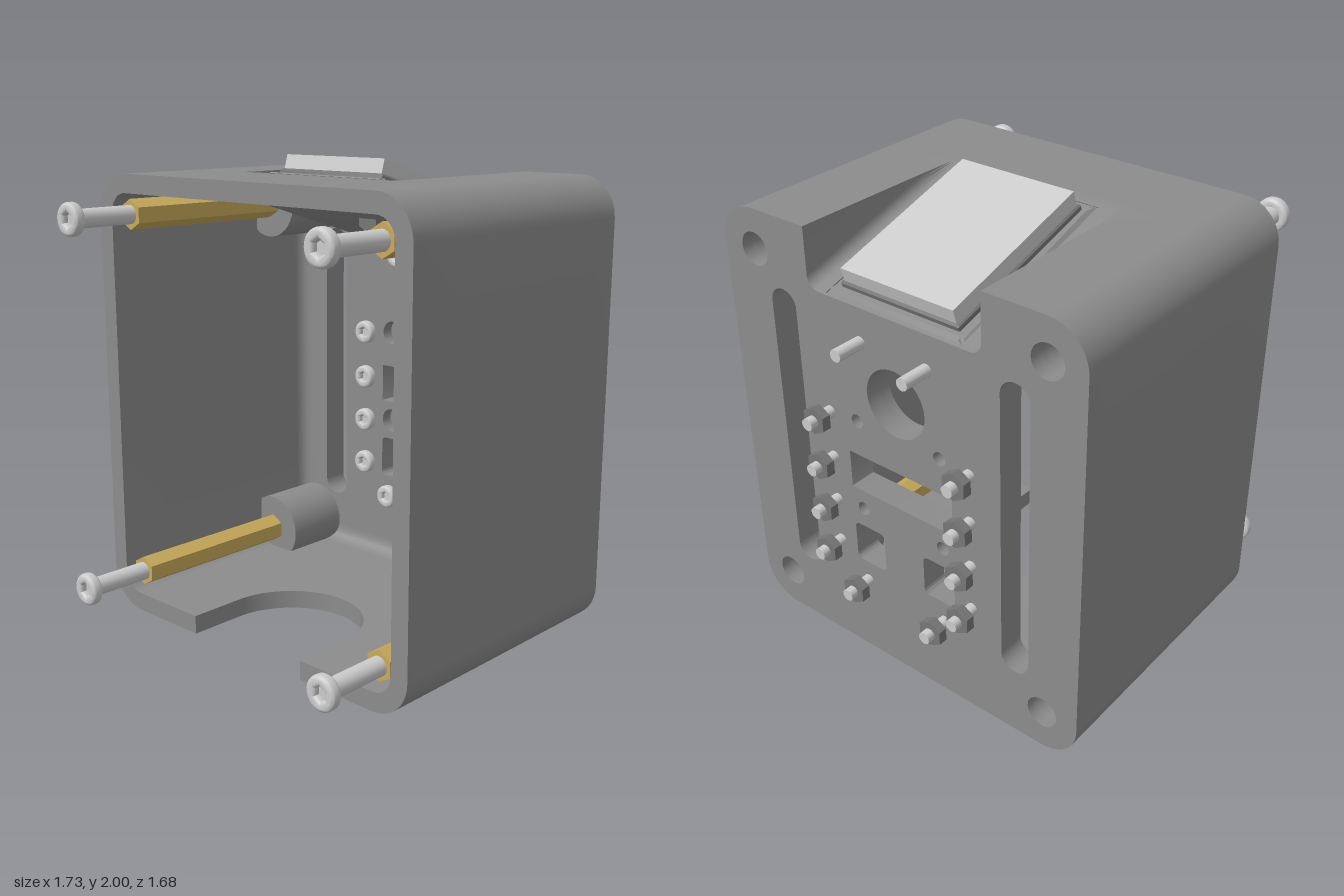
import * as THREE from 'three';
import { toCreasedNormals } from 'three/addons/utils/BufferGeometryUtils.js';

const mat = (color) => new THREE.MeshStandardMaterial({ color });
const BODY = mat(0x8c8c8c), DARK = mat(0x777777), LIGHT = mat(0xcccccc), BRASS = mat(0xc8aa5a);
const BACK = -0.71, FRONT = 0.55, INNER = -0.59, TOP = 1.925, WALL = 0.08, HALF = 0.865, CUT = 0.315;
const SLOPE = 0.3;
const V = (x, y) => new THREE.Vector2(x, y);

function add(parent, name, geo, material, x = 0, y = 0, z = 0) {
  const mesh = new THREE.Mesh(toCreasedNormals(geo, 0.55), material);
  mesh.name = name;
  mesh.position.set(x, y, z);
  parent.add(mesh);
  return mesh;
}

// Cylinder or prism along z between two depths
function rod(r, z0, z1, sides = 20) {
  return new THREE.CylinderGeometry(r, r, z1 - z0, sides).rotateX(Math.PI / 2).translate(0, 0, (z0 + z1) / 2);
}

const slab = (shape, z0, z1) =>
  new THREE.ExtrudeGeometry(shape, { depth: z1 - z0, bevelEnabled: false, curveSegments: 20 }).translate(0, 0, z0);

function circle(x, y, r) {
  return new THREE.Path().absarc(x, y, r, 0, Math.PI * 2);
}

function roundRect(x0, y0, x1, y1, r, Type = THREE.Path) {
  const p = new Type();
  p.absarc(x1 - r, y0 + r, r, -Math.PI / 2, 0);
  p.absarc(x1 - r, y1 - r, r, 0, Math.PI / 2);
  p.absarc(x0 + r, y1 - r, r, Math.PI / 2, Math.PI);
  p.absarc(x0 + r, y0 + r, r, Math.PI, Math.PI * 1.5);
  p.closePath();
  return p;
}

// Right half of a wall outline, from the bottom cutout up to the sunken top
function halfOutline(inset, floorY, notchX, r) {
  const pts = [V(CUT, inset)], cx = 0.695, R = 0.17 - inset, top = TOP - inset;
  for (const [cy, start] of [[0.17, -Math.PI / 2], [TOP - 0.17, 0]])
    for (let i = 0; i <= 10; i++) {
      const a = start + (i / 10) * Math.PI / 2;
      pts.push(V(cx + R * Math.cos(a), cy + R * Math.sin(a)));
    }
  const depth = top - floorY, ry = Math.min(r, depth);
  pts.push(V(notchX, top));
  for (let i = 0; i <= 5; i++) {
    const a = (i / 5) * Math.PI / 2;
    pts.push(V(notchX - r * (1 - Math.cos(a)), floorY + ry * (1 - Math.sin(a))));
  }
  return pts;
}

const mirror = (pts) => pts.map((p) => V(-p.x, p.y));
const floorAt = (z) => Math.min(TOP, TOP + SLOPE * (z - 0.12));
const outerHalf = (z) => halfOutline(0, floorAt(z), 0.42, 0.05);
const innerHalf = (z) =>
  halfOutline(WALL, Math.min(TOP - WALL, TOP + SLOPE * (Math.max(z, INNER) - 0.12) - 0.1), 0.53, 0.05);

// Walls: one cross-section lofted from back to front
function wallGeometry() {
  const zs = [BACK, INNER, -0.2, -0.046, 0.12, 0.187, 0.3, FRONT];
  const rings = zs.map((z) => {
    const o = outerHalf(z), i = innerHalf(z);
    return [...o, ...mirror(o).reverse(), ...mirror(i), ...i.reverse()];
  });
  const n = rings[0].length, pos = [], idx = [];
  rings.forEach((ring, k) => ring.forEach((p) => pos.push(p.x, p.y, zs[k])));
  for (let k = 0; k < zs.length - 1; k++)
    for (let i = 0; i < n; i++) {
      const j = (i + 1) % n, a = k * n + i, b = k * n + j;
      idx.push(a, b, b + n, a, b + n, a + n);
    }
  const last = (zs.length - 1) * n;
  for (const [a, b, c] of THREE.ShapeUtils.triangulateShape(rings[0], [])) idx.push(a, c, b);
  for (const [a, b, c] of THREE.ShapeUtils.triangulateShape(rings[zs.length - 1], [])) idx.push(last + a, last + b, last + c);
  const g = new THREE.BufferGeometry();
  g.setAttribute('position', new THREE.Float32BufferAttribute(pos, 3));
  g.setIndex(idx);
  return g;
}

// Back panel layer with all openings; smallR sizes the stepped holes
function panelShape(smallR) {
  const half = innerHalf(BACK);
  const s = new THREE.Shape([...half, ...mirror(half).reverse()]);
  s.holes.push(circle(0, 1.32, 0.145), roundRect(-0.265, 0.835, 0.265, 1.005, 0.004));
  for (const m of [-1, 1]) {
    s.holes.push(roundRect(m * 0.565 - 0.066, 0.31, m * 0.565 + 0.066, 1.625, 0.065));
    s.holes.push(roundRect(m * 0.185 - 0.08, 0.47, m * 0.185 + 0.08, 0.655, 0.025));
    for (const y of [0.745, 1.165]) s.holes.push(circle(m * 0.21, y, smallR));
    for (const y of [0.175, 1.755]) s.holes.push(circle(m * 0.7, y, 0.07));
  }
  return s;
}

// Rounded screw with a hexagonal socket, head facing +z
function screw(name, r, shaftR, headZ, headH, tipZ) {
  const g = new THREE.Group();
  g.name = name;
  const s = new THREE.Shape().absarc(0, 0, r, 0, Math.PI * 2);
  const hex = [];
  for (let i = 0; i < 6; i++) hex.push(V(r * 0.42 * Math.sin(i * Math.PI / 3), r * 0.42 * Math.cos(i * Math.PI / 3)));
  s.holes.push(new THREE.Path(hex).closePath());
  const b = headH * 0.3;
  add(g, 'screwHead', new THREE.ExtrudeGeometry(s, {
    depth: headH - 2 * b, bevelThickness: b, bevelSize: b, bevelOffset: -b, bevelSegments: 3, curveSegments: 14,
  }).translate(0, 0, headZ + b), LIGHT);
  add(g, 'screwShaft', rod(shaftR, tipZ, headZ + headH * 0.45), LIGHT);
  return g;
}

export function createModel() {
  const model = new THREE.Group();
  model.name = 'switchHousing';

  // Housing
  add(model, 'housingWalls', wallGeometry(), BODY);
  add(model, 'backPanelOuter', slab(panelShape(0.03), BACK, -0.645), BODY);
  add(model, 'backPanelInner', slab(panelShape(0.053), -0.645, INNER), BODY);

  // Floor with round-ended cable cutout
  const floor = new THREE.Shape();
  floor.moveTo(CUT, -BACK).lineTo(-CUT, -BACK).lineTo(-CUT, -0.3);
  floor.absarc(0, -0.3, CUT, Math.PI, 0, true);
  floor.closePath();
  add(model, 'floorCutout', slab(floor, 0, WALL).rotateX(-Math.PI / 2), BODY);

  // Concave fillets where the panel meets the side walls and floor
  const fillet = new THREE.Shape();
  fillet.moveTo(0, 0).lineTo(0.07, 0).quadraticCurveTo(0, 0, 0, 0.07).closePath();
  const strip = (len) => slab(fillet, -len / 2, len / 2);
  add(model, 'filletLeft', strip(1.6).rotateX(-Math.PI / 2).rotateY(Math.PI), BODY, HALF - WALL, 0.965, INNER);
  add(model, 'filletRight', strip(1.6).rotateX(Math.PI / 2), BODY, WALL - HALF, 0.965, INNER);
  add(model, 'filletFloor', strip(1.4).rotateY(-Math.PI / 2), BODY, 0, WALL, INNER);

  // Corner bosses, brass standoffs and front screws
  const bossProfile = [V(0, -0.32), V(0.07, -0.32), V(0.07, -0.6), V(0.155, -0.6), V(0.155, -0.28), V(0, -0.28)];
  for (const x of [-0.7, 0.7])
    for (const y of [0.175, 1.755]) {
      add(model, 'cornerBoss', new THREE.LatheGeometry(bossProfile, 36).rotateX(Math.PI / 2), BODY, x, y);
      add(model, 'standoff', rod(0.065, -0.3, 0.52, 6), BRASS, x, y);
      const s = screw('frontScrew', 0.07, 0.04, 0.79, 0.05, 0.51);
      s.position.set(x, y, 0);
      model.add(s);
    }

  // Panel screws, with nuts on all but the top pair
  const spots = [[0.163, 1.53], [0.355, 1.155], [0.355, 0.94], [0.355, 0.73], [0.355, 0.52], [0.21, 0.375]];
  for (const [sx, y] of spots)
    for (const x of [-sx, sx]) {
      const s = screw('panelScrew', 0.053, 0.026, INNER, 0.045, -0.84);
      s.position.set(x, y, 0);
      model.add(s);
      if (y < 1.5) add(model, 'nut', rod(0.06, -0.805, -0.765, 6), DARK, x, y);
    }

  // Hexagonal fixing under the sloped top
  add(model, 'hexFixing', rod(0.055, -0.3, -0.18, 6), DARK, 0, 1.73);

  // Rocker switch lying in the sloped recess
  const rocker = new THREE.Group();
  rocker.name = 'rockerSwitch';
  rocker.position.set(0, floorAt(-0.3), -0.3);
  rocker.rotation.x = -Math.atan(SLOPE);
  const frame = (w, l, h, b) => new THREE.ExtrudeGeometry(roundRect(-w, -l, w, l, 0.004, THREE.Shape), {
    depth: h - b, bevelThickness: b, bevelSize: b, bevelOffset: -b, bevelSegments: 1, curveSegments: 1,
  }).rotateX(-Math.PI / 2);
  add(rocker, 'switchBezel', frame(0.33, 0.42, 0.01, 0.025), BODY, 0, 0.005, 0);
  add(rocker, 'switchFrame', frame(0.285, 0.375, 0.03, 0.008), DARK, 0, 0.01, 0);
  add(rocker, 'switchButton', new THREE.BoxGeometry(0.54, 0.1, 0.73), LIGHT, 0, 0.05, 0);
  model.add(rocker);

  return model;
}
